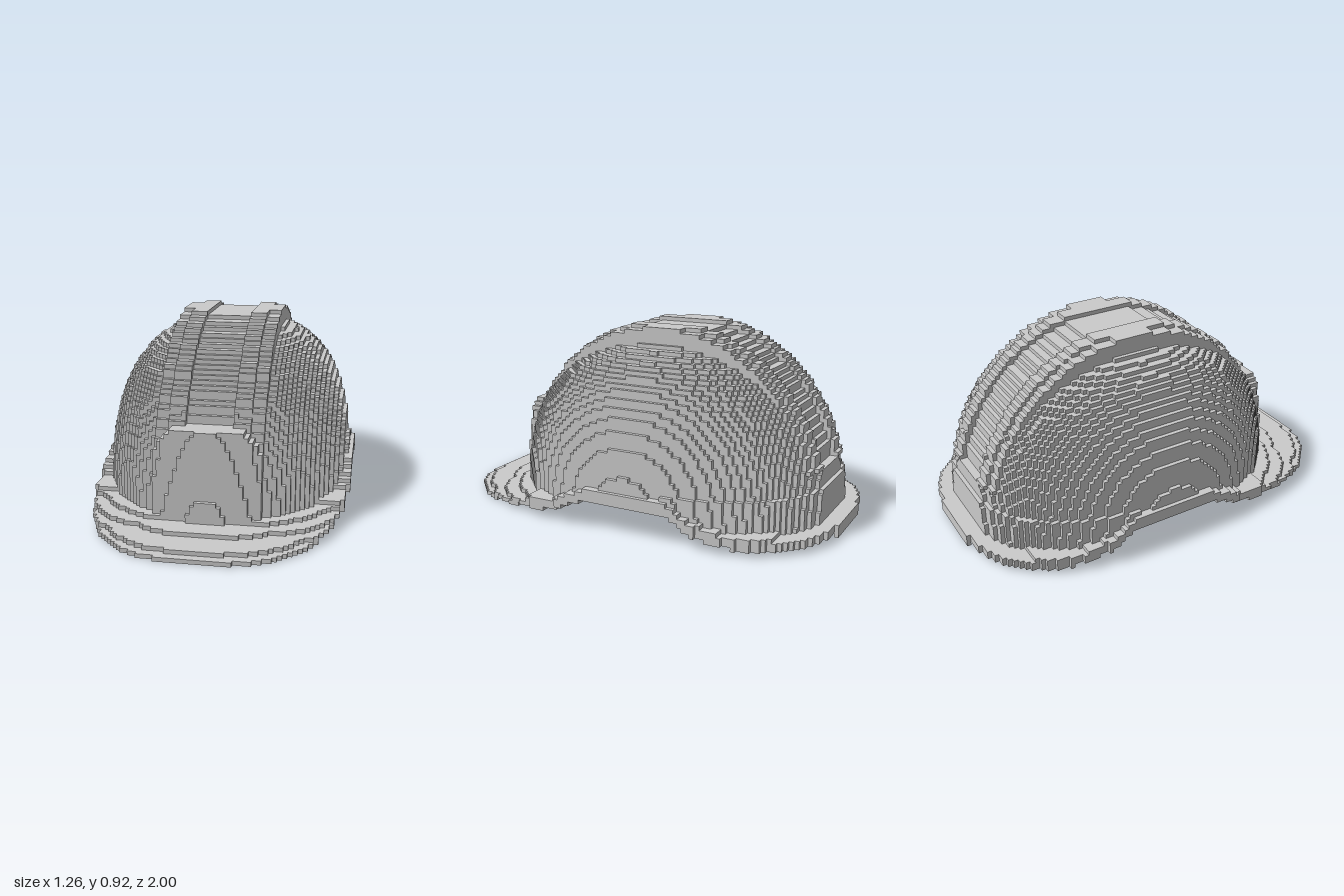
import * as THREE from 'three';

// Safety helmet made of small cubes
const S = 0.02, NX = 63, NY = 46, NZ = 100;
const PARTS = ['shell', 'crest', 'frontPad', 'brim'];

// Height of the lower edge along z: raised over the ears
const EDGE = [[-1, 0], [-0.97, 0.012], [-0.65, 0.028], [-0.5, 0.055], [-0.41, 0.1], [-0.35, 0.14],
  [0.02, 0.15], [0.1, 0.14], [0.2, 0.1], [0.3, 0.055], [0.5, 0.032], [0.7, 0.012], [0.75, 0], [1, 0]];
function edgeHeight(z) {
  let i = 1;
  while (i < EDGE.length - 1 && EDGE[i][0] < z) i++;
  const [z0, y0] = EDGE[i - 1], [z1, y1] = EDGE[i];
  return y0 + (y1 - y0) * (z - z0) / (z1 - z0);
}

const power = (v, size, n) => Math.pow(Math.abs(v) / size, n);

// Rounded dome, grown or shrunk by d
const inDome = (x, y, z, d) =>
  power(x, 0.61 + d, 2.7) + power(y, 0.87 + d, 2.7) + power(z + 0.115, 0.8 + d, 2.1) < 1;

// Arch over the middle of the dome, the same across its width
const inArch = (y, z, d) => power(y, 0.93 + d, 2.1) + power(z + 0.115, 0.815 + d, 2.1) < 1;

// Plan outline of the brim, 1 at its rim, longer at the front
const brimRadius = (x, z) =>
  power(x, 0.635, 2.8) + (z > -0.1 ? power(z + 0.1, 1.102, 2.5) : power(z + 0.1, 0.897, 3.2));

// Part index at a point, or -1 where it is empty
function partAt(x, y, z) {
  const ax = Math.abs(x), low = edgeHeight(z);
  const hollow = inDome(x, y, z, -0.045) || (ax < 0.2 && inArch(y, z, -0.06));
  if (y < low || hollow) return -1;
  // brim, thinning toward the tip of the visor
  const r = brimRadius(x, z);
  const thickness = z > 0.45 ? Math.min(0.06, 0.1 - 0.078 * r) : 0.05;
  if (r < 1 && y < low + thickness) return 3;
  // pad on the forehead, slightly bowed, with a rounded top
  if (z > 0.4 && ax < 0.25 && y < 0.48 - 8 * Math.max(0, ax - 0.13) ** 2 &&
    z < 0.72 - 0.06 * y - 0.6 * x * x) return 2;
  // crest: two ridges with a sunken strip between and low shoulders outside
  const offset = ax < 0.12 ? -0.02 : ax < 0.19 ? 0 : -0.015;
  if (ax < 0.26 && y > 0.3 && inArch(y, z, offset)) return 1;
  if (ax < 0.12 && y > 0.3) return -1;
  // shell with a slightly wider band around the back
  return inDome(x, y, z, z < -0.3 && y < 0.23 ? 0.015 : 0) ? 0 : -1;
}

export function createModel() {
  const group = new THREE.Group();
  group.name = 'safetyHelmet';
  const dims = [NX, NY, NZ];
  const center = (i, j, k) => [(i - (NX - 1) / 2) * S, (j + 0.5) * S, (k + 0.5 - NZ / 2) * S];

  // Fill the grid
  const cells = new Int8Array(NX * NY * NZ);
  const index = (i, j, k) => (i * NY + j) * NZ + k;
  for (let i = 0; i < NX; i++) for (let j = 0; j < NY; j++) for (let k = 0; k < NZ; k++) {
    cells[index(i, j, k)] = partAt(...center(i, j, k));
  }
  const filled = (c) => c.every((n, d) => n >= 0 && n < dims[d]) && cells[index(...c)] >= 0;

  // Collect the exposed cube faces of each part
  const data = PARTS.map(() => ({ pos: [], nor: [], idx: [] }));
  const corners = [[-1, -1], [1, -1], [1, 1], [-1, 1]];
  for (let i = 0; i < NX; i++) for (let j = 0; j < NY; j++) for (let k = 0; k < NZ; k++) {
    const part = cells[index(i, j, k)];
    if (part < 0) continue;
    const { pos, nor, idx } = data[part];
    const c = center(i, j, k);
    for (let d = 0; d < 3; d++) for (const s of [-1, 1]) {
      const next = [i, j, k];
      next[d] += s;
      if (filled(next)) continue;
      const base = pos.length / 3, normal = [0, 0, 0];
      normal[d] = s;
      for (const [a, b] of corners) {
        const p = [...c];
        p[d] += s * S / 2;
        p[(d + 1) % 3] += s * a * S / 2;
        p[(d + 2) % 3] += b * S / 2;
        pos.push(...p);
        nor.push(...normal);
      }
      idx.push(base, base + 1, base + 2, base, base + 2, base + 3);
    }
  }

  // One mesh per part
  const material = new THREE.MeshStandardMaterial({ color: 0xcccccc });
  PARTS.forEach((name, n) => {
    const geometry = new THREE.BufferGeometry();
    geometry.setAttribute('position', new THREE.Float32BufferAttribute(data[n].pos, 3));
    geometry.setAttribute('normal', new THREE.Float32BufferAttribute(data[n].nor, 3));
    geometry.setIndex(data[n].idx);
    const mesh = new THREE.Mesh(geometry, material);
    mesh.name = name;
    group.add(mesh);
  });
  return group;
}
